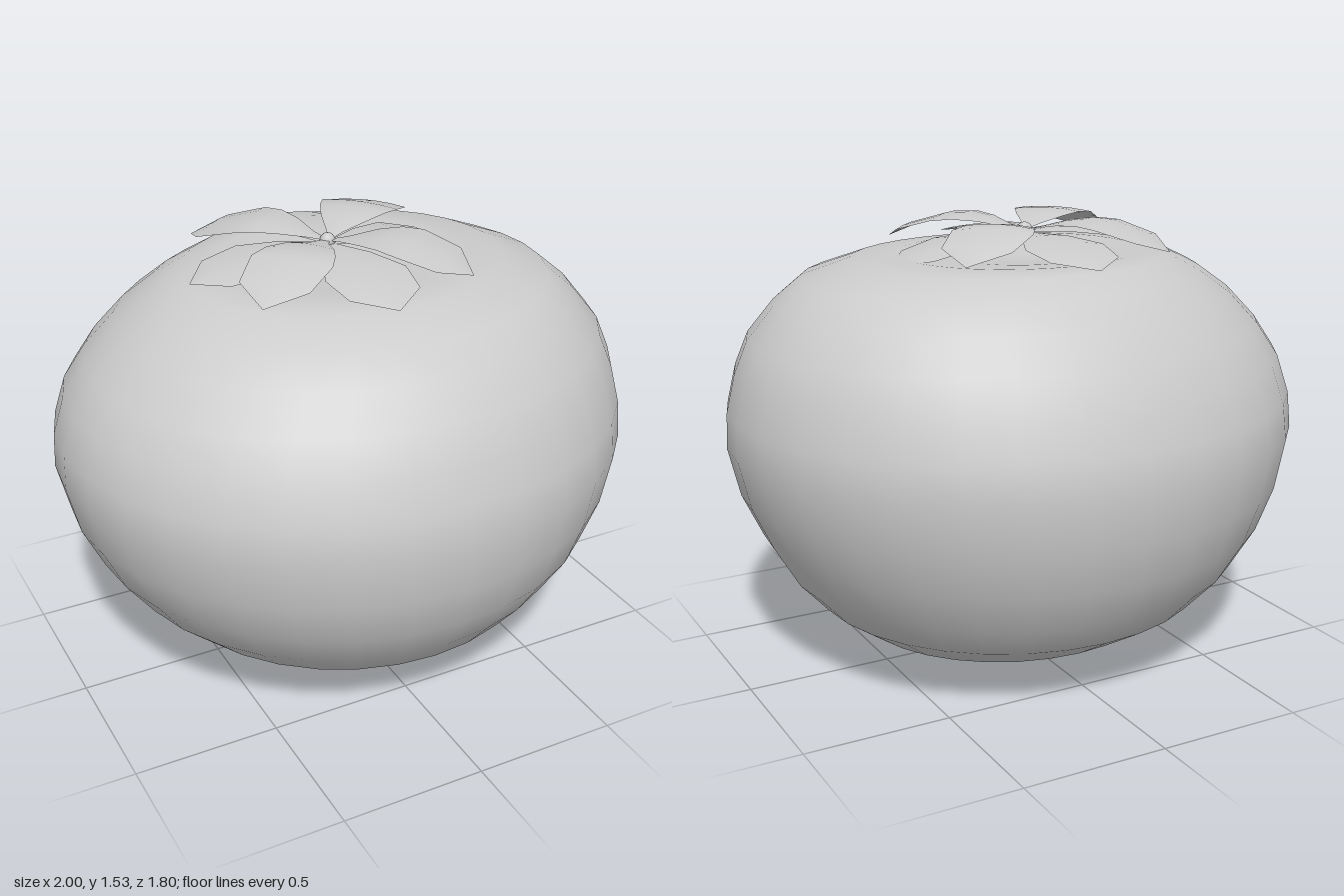
import * as THREE from 'three';
import { mergeVertices } from 'three/addons/utils/BufferGeometryUtils.js';

const material = new THREE.MeshStandardMaterial({ color: 0xcccccc });
const leafMaterial = new THREE.MeshStandardMaterial({ color: 0xcccccc, side: THREE.DoubleSide });

// Fruit cross-sections, bottom to top: [half width x, y, half depth z, centre x, centre z]
const rings = [
  [0, 0, 0, 0.06, 0], [0.19, 0.013, 0.18, 0.04, -0.01], [0.36, 0.05, 0.34, 0.035, 0],
  [0.545, 0.13, 0.51, 0.025, -0.01], [0.69, 0.23, 0.67, 0.02, -0.01], [0.8, 0.34, 0.76, 0.01, -0.01],
  [0.89, 0.48, 0.84, 0, 0], [0.96, 0.63, 0.88, 0, 0], [1, 0.8, 0.9, 0, 0], [0.995, 0.92, 0.875, 0, 0],
  [0.96, 1.05, 0.83, 0.005, 0], [0.9, 1.16, 0.77, 0.02, 0], [0.8, 1.27, 0.685, 0.03, -0.005],
  [0.695, 1.35, 0.595, 0.04, -0.01], [0.555, 1.408, 0.47, 0.025, -0.04], [0.42, 1.417, 0.37, 0, -0.04],
  [0.25, 1.402, 0.23, -0.02, -0.03], [0.1, 1.385, 0.1, -0.03, -0.03], [0, 1.38, 0, -0.03, -0.03],
];

// Slightly lopsided oval body: a lathe whose rings are squashed and shifted
function fruitGeometry() {
  const g = new THREE.LatheGeometry(rings.map(([r, y]) => new THREE.Vector2(r, y)), 32);
  const p = g.attributes.position;
  for (let i = 0; i < p.count; i++) {
    const [rx, , rz, cx, cz] = rings[i % rings.length];
    p.setX(i, p.getX(i) + cx);
    p.setZ(i, (rx ? p.getZ(i) * rz / rx : 0) + cz);
  }
  g.deleteAttribute('uv');
  g.deleteAttribute('normal');
  const merged = mergeVertices(g, 1e-4);
  merged.computeVertexNormals();
  return merged;
}

// Leaf pointing along -z; stations run tip to base: [distance, half width, height]
function leafGeometry(stations, tipDrop = 0) {
  const cols = 4;
  const g = new THREE.PlaneGeometry(1, 1, cols, stations.length - 1);
  const p = g.attributes.position;
  const reach = stations[0][0];
  for (let i = 0; i < p.count; i++) {
    const [d, w, h] = stations[Math.floor(i / (cols + 1))];
    const side = p.getX(i) * 2;
    const droop = 0.08 * w * side * side + tipDrop * (d / reach) ** 2;
    p.setXYZ(i, side * w, h - droop, -d);
  }
  g.computeVertexNormals();
  return g;
}

const largeLeaf = [
  [0.51, 0, 1.435], [0.425, 0.12, 1.485], [0.29, 0.14, 1.525],
  [0.22, 0.12, 1.53], [0.145, 0.085, 1.52], [0.06, 0.03, 1.497], [0, 0.008, 1.485],
];
const smallLeaf = [
  [0.495, 0, 1.418], [0.4, 0.125, 1.448], [0.27, 0.145, 1.473],
  [0.14, 0.085, 1.482], [0, 0.01, 1.475],
];

export function createModel() {
  const model = new THREE.Group();
  const add = (parent, name, geometry, mat) => {
    const mesh = new THREE.Mesh(geometry, mat);
    mesh.name = name;
    parent.add(mesh);
    return mesh;
  };

  add(model, 'fruit', fruitGeometry(), material);

  // Leafy crown: four large leaves on the diagonals, four small ones between and below
  const crown = new THREE.Group();
  crown.name = 'crown';
  crown.position.set(-0.03, 0, -0.033);
  model.add(crown);
  for (let i = 0; i < 4; i++) {
    const turn = i * Math.PI / 2;
    add(crown, 'largeLeaf', leafGeometry(largeLeaf), leafMaterial).rotation.y = turn - THREE.MathUtils.degToRad(49.5);
    // The leaf on the +x side sinks into the fruit at its tip
    add(crown, 'smallLeaf', leafGeometry(smallLeaf, i === 3 ? 0.022 : 0), leafMaterial).rotation.y = turn;
  }

  // Stem nub in the middle of the crown
  const nub = add(crown, 'stemNub', new THREE.SphereGeometry(0.027, 12, 8), material);
  nub.position.y = 1.482;
  return model;
}
